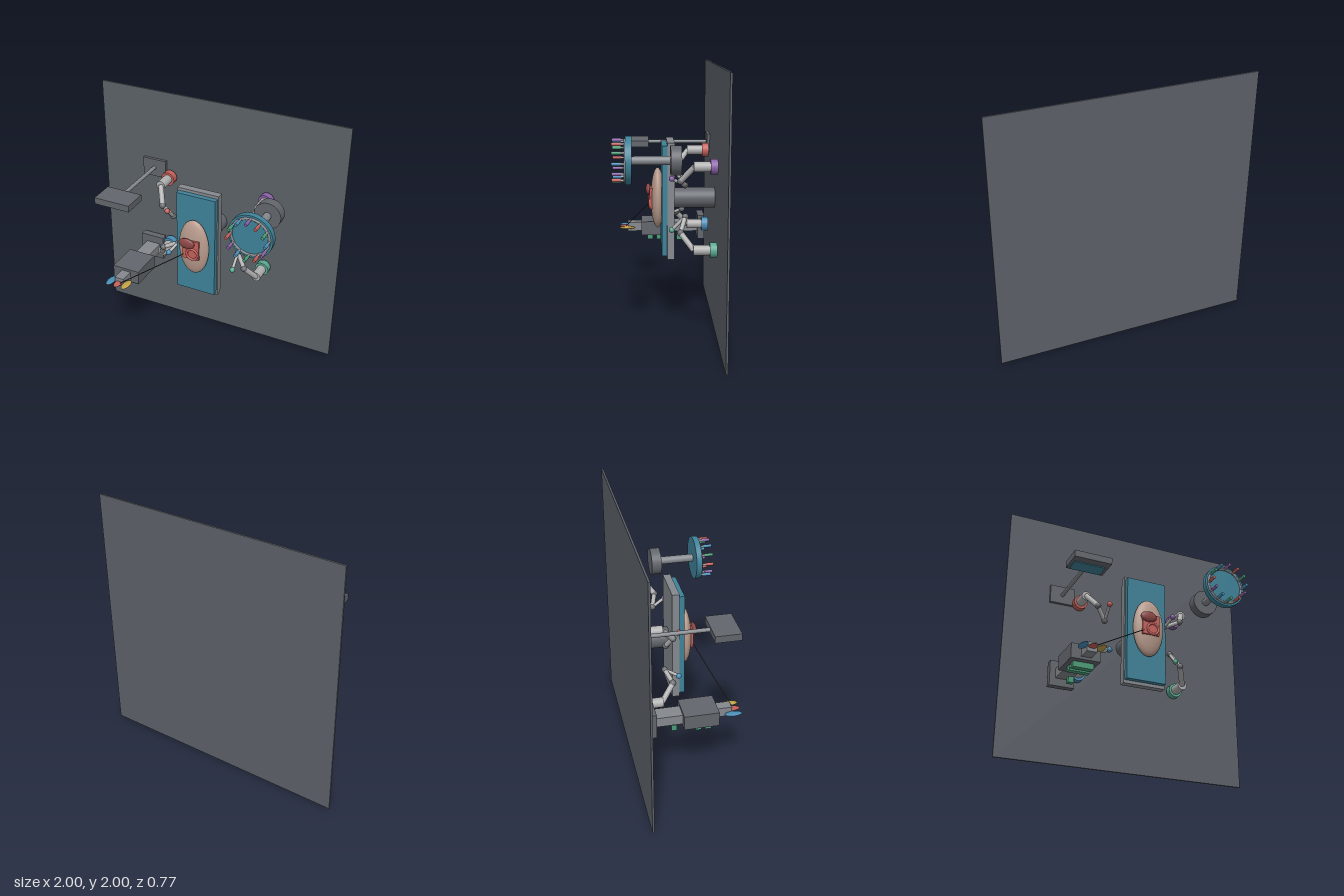
import * as THREE from 'three';

const V = (x, y, z) => new THREE.Vector3(x, y, z);
const C = {
  floor: 0x5c6168, dark: 0x62666c, mid: 0x85898e, light: 0xb0b0b0, joint: 0x6b6e72, blue: 0x3f8299,
  skin: 0xb89a8c, red: 0xc4605a, organ: 0x8c4646, green: 0x4a9c78, teal: 0x5aa890,
  purple: 0x8a62a8, sky: 0x4a8fb8, yellow: 0xc4a44a, wire: 0x333333,
};
const mat = (c) => new THREE.MeshStandardMaterial({ color: c });

function add(parent, name, geo, color, pos = V(0, 0, 0)) {
  const m = new THREE.Mesh(geo, mat(color));
  m.name = name;
  m.position.copy(pos);
  parent.add(m);
  return m;
}
// box from its extents on each axis
function box(p, name, color, [x0, x1], [y0, y1], [z0, z1]) {
  return add(p, name, new THREE.BoxGeometry(x1 - x0, y1 - y0, z1 - z0), color,
    V((x0 + x1) / 2, (y0 + y1) / 2, (z0 + z1) / 2));
}
// round rod between two points
function rod(p, name, color, a, b, r, seg = 24) {
  const d = b.clone().sub(a);
  const m = add(p, name, new THREE.CylinderGeometry(r, r, d.length(), seg), color, a.clone().add(b).multiplyScalar(0.5));
  m.quaternion.setFromUnitVectors(V(0, 1, 0), d.normalize());
  return m;
}
const zRod = (p, name, color, x, y, z0, z1, r, seg = 32) => rod(p, name, color, V(x, y, z0), V(x, y, z1), r, seg);
function ball(p, name, color, pos, rx, ry = rx, rz = rx) {
  const m = add(p, name, new THREE.SphereGeometry(1, 32, 20), color, pos);
  m.scale.set(rx, ry, rz);
  return m;
}
function group(parent, name) {
  const g = new THREE.Group();
  g.name = name;
  parent.add(g);
  return g;
}

export function createModel() {
  const root = new THREE.Group();
  root.name = 'operatingRoom';

  box(root, 'floor', C.floor, [-1, 1], [0, 2], [-0.385, -0.37]);

  // table on its pedestal
  const table = group(root, 'table');
  zRod(table, 'pedestal', C.dark, 0, 1.005, -0.37, -0.06, 0.077, 40);
  box(table, 'tableFrame', C.mid, [-0.167, 0.167], [0.565, 1.443], [-0.063, -0.008]);
  box(table, 'mattress', C.blue, [-0.158, 0.158], [0.59, 1.42], [-0.008, 0.032]);

  // patient with open surgical field
  const patient = group(root, 'patient');
  ball(patient, 'torso', C.skin, V(0, 1.005, 0.06), 0.122, 0.23, 0.052);
  box(patient, 'surgicalField', C.red, [-0.068, 0.065], [0.93, 1.09], [0.1, 0.12]);
  add(patient, 'portRing', new THREE.TorusGeometry(0.044, 0.009, 12, 40), C.red, V(0.013, 0.977, 0.122));
  ball(patient, 'organ', C.organ, V(-0.028, 1.067, 0.13), 0.065, 0.042, 0.02);

  // four jointed arms around the table
  const arms = [
    [-1, 1, C.red, [-0.275, 1.097], [-0.275, 1.195]],
    [1, 1, C.purple, [0.23, 1.143], [0.26, 1.197]],
    [1, -1, C.teal, [0.277, 0.92], [0.277, 0.82]],
    [-1, -1, C.sky, [-0.235, 0.866], [-0.27, 0.82]],
  ];
  for (const [sx, sy, color, w, t] of arms) {
    const arm = group(root, 'roboticArm');
    const x = sx * 0.41, y = 1.005 + sy * 0.303;
    const shoulder = V(x, y, -0.19), elbow = V(sx * 0.347, 1.005 + sy * 0.19, -0.097);
    const wrist = V(w[0], w[1], -0.135), tip = V(t[0], t[1], -0.037);
    zRod(arm, 'armBase', color, x, y, -0.355, -0.303, 0.055);
    zRod(arm, 'shoulder', C.light, x, y, -0.303, -0.185, 0.037);
    rod(arm, 'upperLink', C.light, shoulder, elbow, 0.021);
    ball(arm, 'elbow', C.joint, elbow, 0.025);
    rod(arm, 'foreLink', C.light, elbow, wrist, 0.017);
    ball(arm, 'wrist', C.joint, wrist, 0.023);
    rod(arm, 'instrument', C.light, wrist, tip, 0.012);
    ball(arm, 'instrumentTip', color, tip, 0.021);
  }

  // rotating tool carousel
  const carousel = group(root, 'toolCarousel');
  const cx = 0.545, cy = 1.377;
  zRod(carousel, 'carouselBase', C.dark, cx, cy, -0.092, -0.016, 0.103, 40);
  zRod(carousel, 'carouselPost', C.mid, cx, cy, -0.016, 0.25, 0.03);
  zRod(carousel, 'carouselDisc', C.blue, cx, cy, 0.25, 0.294, 0.168, 48);
  add(carousel, 'toolRing', new THREE.TorusGeometry(0.143, 0.01, 10, 48), C.mid, V(cx, cy, 0.294));
  const toolColors = [C.sky, C.green, C.red, C.purple];
  for (let i = 0; i < 12; i++) {
    const a = (i * Math.PI) / 6;
    const x = cx + 0.143 * Math.cos(a), y = cy + 0.143 * Math.sin(a);
    zRod(carousel, 'toolStem', C.light, x, y, 0.29, 0.33, 0.008, 12);
    zRod(carousel, 'toolHead', toolColors[i % 4], x, y, 0.322, 0.385, 0.012, 16);
  }

  // display on a long pole
  const display = group(root, 'displayStand');
  box(display, 'standFoot', C.dark, [-0.647, -0.45], [1.285, 1.43], [-0.372, -0.347]);
  zRod(display, 'standPole', C.mid, -0.55, 1.358, -0.347, 0.125, 0.015, 20);
  box(display, 'displayPanel', C.dark, [-0.693, -0.405], [1.332, 1.383], [0.12, 0.31]);
  box(display, 'screen', C.blue, [-0.67, -0.43], [1.325, 1.332], [0.13, 0.245]);

  // supply unit with feeder arm
  const supply = group(root, 'supplyUnit');
  box(supply, 'unitFoot', C.dark, [-0.645, -0.45], [0.565, 0.762], [-0.33, -0.276]);
  box(supply, 'unitColumn', C.mid, [-0.6, -0.48], [0.625, 0.7], [-0.276, -0.075]);
  box(supply, 'unitBody', C.dark, [-0.648, -0.425], [0.605, 0.717], [-0.078, 0.182]);
  box(supply, 'feederArm', C.mid, [-0.572, -0.495], [0.625, 0.697], [0.182, 0.292]);
  for (const z of [0.11, 0.035]) box(supply, 'tray', C.green, [-0.612, -0.457], [0.562, 0.605], [z - 0.023, z + 0.023]);
  box(supply, 'statusLight', C.green, [-0.557, -0.515], [0.542, 0.588], [-0.152, -0.11]);
  [C.sky, C.red, C.yellow].forEach((c, i) =>
    ball(supply, 'feederFinger', c, V(-0.602 + i * 0.067, 0.659, 0.297), 0.03, 0.01, 0.064));

  // suture line from feeder to patient
  rod(root, 'sutureLine', C.wire, V(-0.525, 0.66, 0.31), V(-0.058, 0.96, 0.118), 0.0035, 8);
  return root;
}
